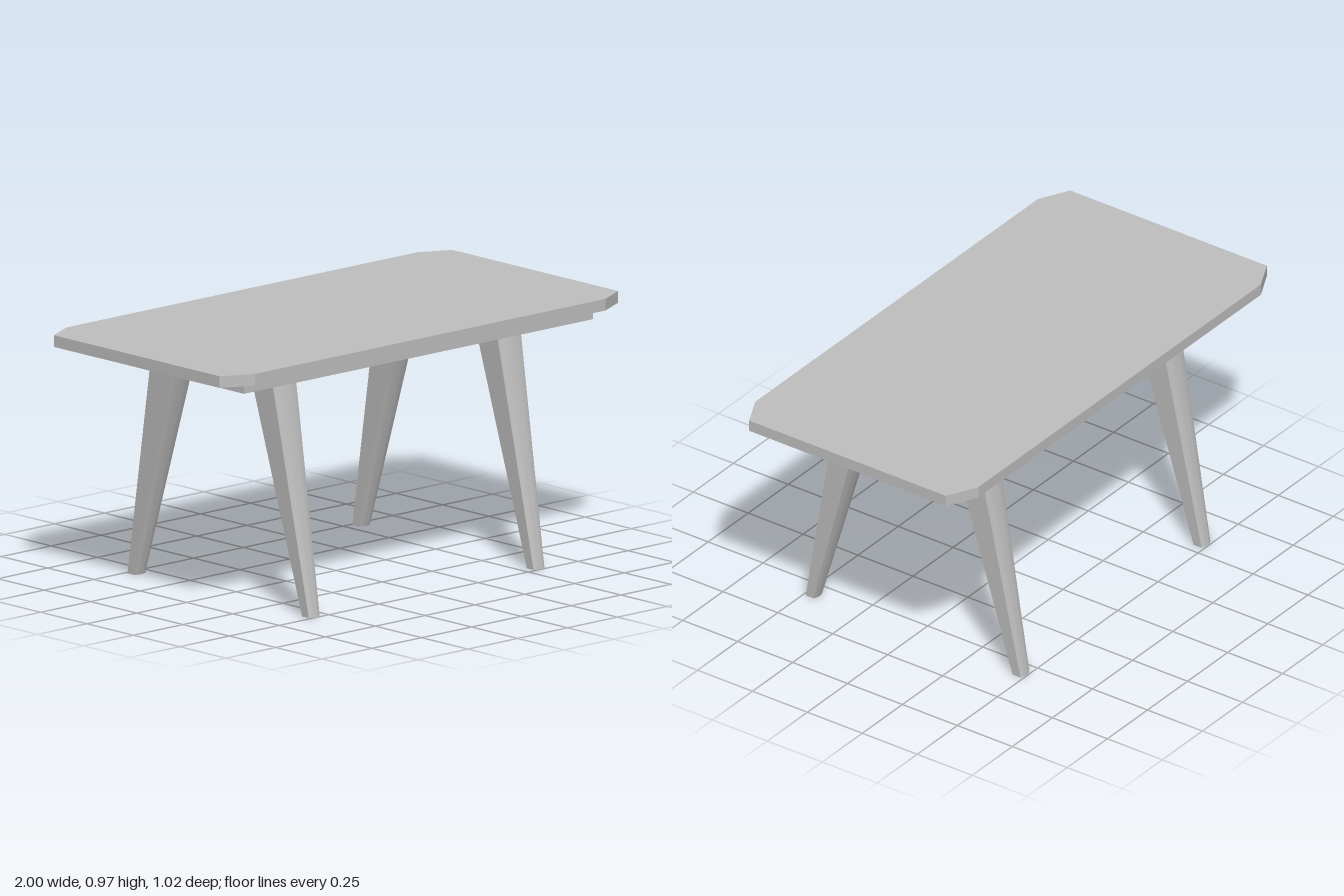
import * as THREE from 'three';
import { toCreasedNormals } from 'three/addons/utils/BufferGeometryUtils.js';

const TOP_Y = 0.972, UNDER_Y = 0.928, APRON_Y = 0.885;

// Flat outline in x/z, extruded upward between two heights
function slab(shape, y0, y1) {
  const g = new THREE.ExtrudeGeometry(shape, { depth: y1 - y0, bevelEnabled: false });
  g.rotateX(-Math.PI / 2);
  g.translate(0, y0, 0);
  return g;
}

function rectPoints(x, z) {
  return [[-x, -z], [x, -z], [x, z], [-x, z]].map(p => new THREE.Vector2(...p));
}

// Leg section: flat sides, front and back bowed out by "bow"
function legSection({ y, z, halfX, halfZ, bow }) {
  const pts = [], n = 8;
  for (const s of [1, -1]) {
    for (let i = 0; i <= n; i++) {
      const u = 1 - (2 * i) / n;
      pts.push([s * u * halfX, y, z + s * (halfZ - bow * u * u)]);
    }
  }
  return pts;
}

// Splayed, tapering leg lofted from foot to head
function legGeometry() {
  const foot = legSection({ y: 0, z: 0.471, halfX: 0.0275, halfZ: 0.026, bow: 0.008 });
  const head = legSection({ y: UNDER_Y, z: 0.255, halfX: 0.0615, halfZ: 0.0615, bow: 0.002 });
  const n = foot.length, index = [];
  for (let i = 0; i < n; i++) {
    const j = (i + 1) % n;
    index.push(i, n + i, j, j, n + i, n + j);
    if (i > 0 && i < n - 1) index.push(0, i, i + 1, n, n + i + 1, n + i);
  }
  const g = new THREE.BufferGeometry();
  g.setAttribute('position', new THREE.Float32BufferAttribute([...foot, ...head].flat(), 3));
  g.setIndex(index);
  return toCreasedNormals(g, 0.5);
}

export function createModel() {
  const table = new THREE.Group();
  table.name = 'table';
  const grey = new THREE.MeshStandardMaterial({ color: 0xc0c0c0 });
  grey.name = 'light grey';

  const add = (name, geometry) => {
    const mesh = new THREE.Mesh(geometry, grey);
    mesh.name = name;
    table.add(mesh);
    return mesh;
  };

  // Tabletop with clipped corners
  const outline = [
    [-0.88, -0.508], [0.88, -0.508], [1, -0.448], [1, 0.448],
    [0.88, 0.508], [-0.88, 0.508], [-1, 0.448], [-1, -0.448],
  ].map(p => new THREE.Vector2(...p));
  add('tabletop', slab(new THREE.Shape(outline), UNDER_Y, TOP_Y));

  // Open frame under the top
  const frame = new THREE.Shape(rectPoints(0.875, 0.445));
  frame.holes.push(new THREE.Path(rectPoints(0.75, 0.385).reverse()));
  add('apronFrame', slab(frame, APRON_Y, UNDER_Y));

  // Four legs, the back pair turned round
  const leg = legGeometry();
  for (const [end, turn] of [['front', 0], ['back', Math.PI]]) {
    for (const [side, x] of [['Left', 0.564], ['Right', -0.564]]) {
      const mesh = add(`${end}${side}Leg`, leg);
      mesh.position.x = x;
      mesh.rotation.y = turn;
    }
  }
  return table;
}
